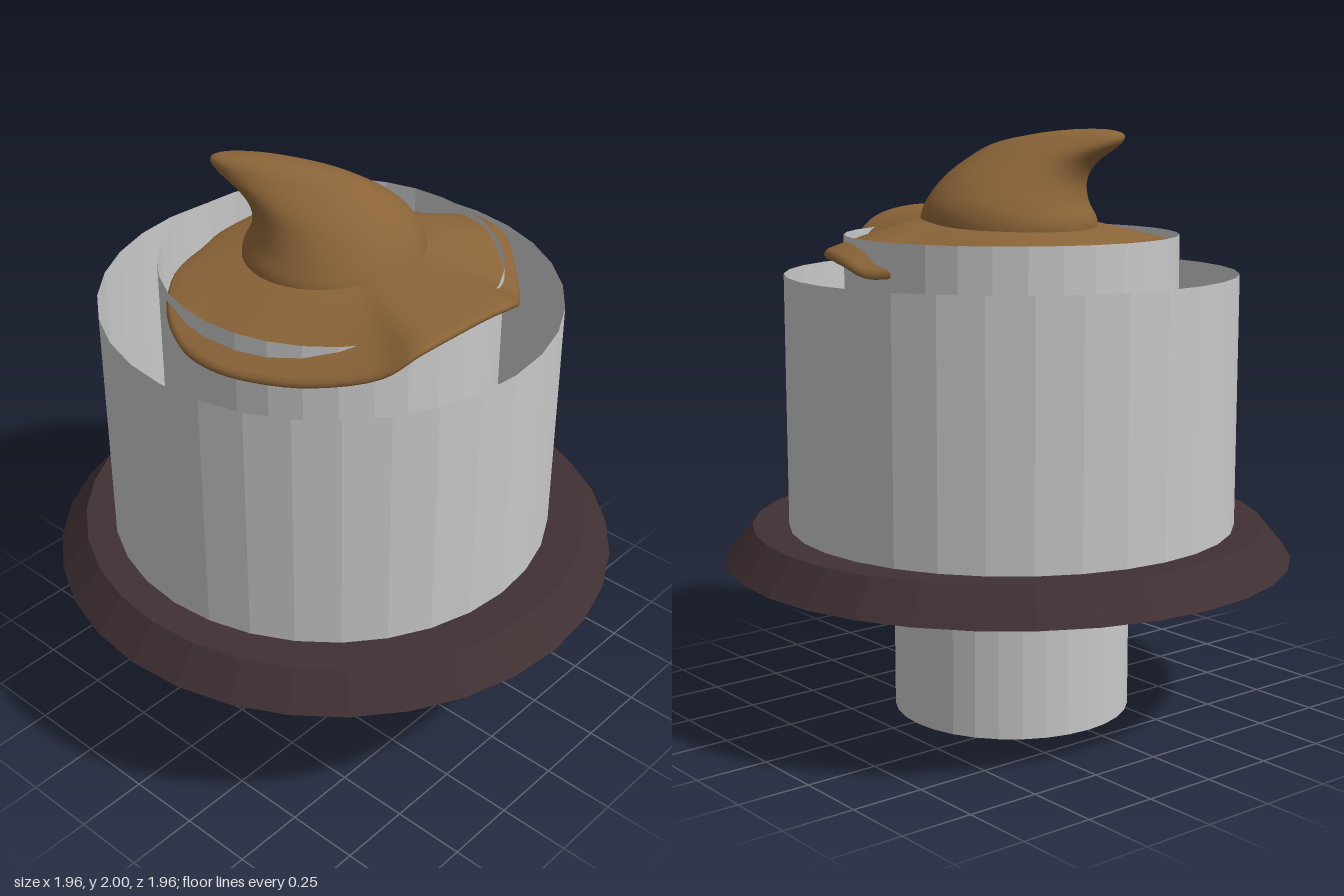
import * as THREE from 'three';

const V = (x, y, z) => new THREE.Vector3(x, y, z);

// Skin a list of closed rings (each an array of Vector3) with smooth normals
function loft(rings) {
  const n = rings[0].length, idx = [];
  for (let i = 0; i < rings.length - 1; i++) {
    for (let j = 0; j < n; j++) {
      const a = i * n + j, b = i * n + (j + 1) % n;
      idx.push(a, a + n, b, b, a + n, b + n);
    }
  }
  const g = new THREE.BufferGeometry().setFromPoints(rings.flat());
  g.setIndex(idx);
  g.computeVertexNormals();
  return g;
}

export function createModel() {
  const model = new THREE.Group();
  const mat = (name, color, extra) => {
    const m = new THREE.MeshStandardMaterial({ color, ...extra });
    m.name = name;
    return m;
  };
  const grey = mat('lightGrey', 0xc8c8c8, { side: THREE.DoubleSide, flatShading: true });
  const dark = mat('darkBrown', 0x403033, { flatShading: true });
  const felt = mat('feltBrown', 0x8b6438, { side: THREE.DoubleSide });
  const add = (name, geo, material, parent = model) => {
    const m = new THREE.Mesh(geo, material);
    m.name = name;
    parent.add(m);
    return m;
  };

  // Open thin-walled tubes: radius, bottom, top
  const tubes = { lowerTube: [0.41, 0, 0.6], outerTube: [0.77, 0.48, 1.52], innerTube: [0.567, 0.6, 1.65] };
  for (const [name, [r, y0, y1]] of Object.entries(tubes)) {
    const t = add(name, new THREE.CylinderGeometry(r, r, y1 - y0, 32, 1, true), grey);
    t.position.set(0, (y0 + y1) / 2, -0.02);
  }

  // Bevelled base disc
  add('flangeDisc', new THREE.CylinderGeometry(0.885, 0.98, 0.115, 32), dark).position.y = 0.6;

  const hat = new THREE.Group();
  hat.name = 'hat';
  model.add(hat);

  // Wavy brim outline, starting at +x and turning towards +z
  const outline = new THREE.CatmullRomCurve3([
    V(0.63, 1.575, 0.07), V(0.58, 1.59, 0.25), V(0.45, 1.56, 0.4), V(0.3, 1.57, 0.53),
    V(0.13, 1.66, 0.63), V(-0.02, 1.695, 0.65), V(-0.2, 1.70, 0.645), V(-0.32, 1.69, 0.63),
    V(-0.4, 1.62, 0.56), V(-0.52, 1.56, 0.37), V(-0.6, 1.54, 0.18), V(-0.63, 1.54, 0.05),
    V(-0.62, 1.55, -0.08), V(-0.55, 1.59, -0.22), V(-0.4, 1.62, -0.34), V(-0.22, 1.62, -0.395),
    V(-0.12, 1.62, -0.425), V(0.1, 1.62, -0.43), V(0.25, 1.61, -0.41), V(0.37, 1.59, -0.36),
    V(0.5, 1.56, -0.18), V(0.605, 1.54, -0.03),
  ], true).getPoints(96).slice(0, -1);

  // Brim section: [fraction from crown to edge, offset from mid surface]
  const half = 0.016;
  const steps = [0, 0.2, 0.4, 0.6, 0.8, 0.96];
  const section = [
    ...steps.map(t => [t, -half]), [0.99, -half * 0.6], [1, 0], [0.99, half * 0.6],
    ...[...steps].reverse().map(t => [t, half]),
  ];
  add('hatBrim', loft(section.map(([t, dy]) => outline.map(p => {
    const k = 0.27 / Math.hypot(p.x, p.z);
    const inner = V(p.x * k, 1.68 + 0.08 * p.z * k, p.z * k);
    return V(
      THREE.MathUtils.lerp(inner.x, p.x, t),
      THREE.MathUtils.lerp(inner.y, p.y, Math.pow(t, 1.3)) + dy,
      THREE.MathUtils.lerp(inner.z, p.z, t));
  }))), felt);

  // Crown: rings [y, centre x, centre z, radius along the lean, radius across]
  const lean = Math.atan2(-0.88, -0.47);
  const controls = [
    [1.64, -0.005, 0, 0.3, 0.3], [1.7, -0.003, 0, 0.3, 0.3], [1.76, 0.002, 0, 0.275, 0.275],
    [1.83, -0.015, -0.015, 0.25, 0.225], [1.89, -0.05, -0.055, 0.235, 0.17],
    [1.95, -0.1, -0.135, 0.225, 0.105], [1.983, -0.145, -0.2, 0.155, 0.065],
    [1.997, -0.17, -0.225, 0.07, 0.03], [2.0, -0.175, -0.23, 0.002, 0.002],
  ];
  // Smooth the rings by interpolating each column
  const column = c => new THREE.CatmullRomCurve3(controls.map((r, i) => V(i, r[c], 0)), false, 'centripetal');
  const columns = [0, 1, 2, 3, 4].map(column);
  const crown = [];
  for (let i = 0; i <= 32; i++) {
    const [y, cx, cz, a, b] = columns.map(c => c.getPoint(i / 32).y);
    crown.push(Array.from({ length: 48 }, (_, j) => {
      const t = j / 48 * Math.PI * 2, u = Math.cos(t) * a, v = Math.sin(t) * b;
      return V(cx + u * Math.cos(lean) - v * Math.sin(lean), y, cz + u * Math.sin(lean) + v * Math.cos(lean));
    }));
  }
  add('hatCrown', loft(crown), felt, hat);
  hat.add(model.getObjectByName('hatBrim'));

  // Dark lining closing the underside of the crown
  add('hatLining', new THREE.CylinderGeometry(0.27, 0.27, 0.04, 32), dark, hat).position.y = 1.672;

  return model;
}
